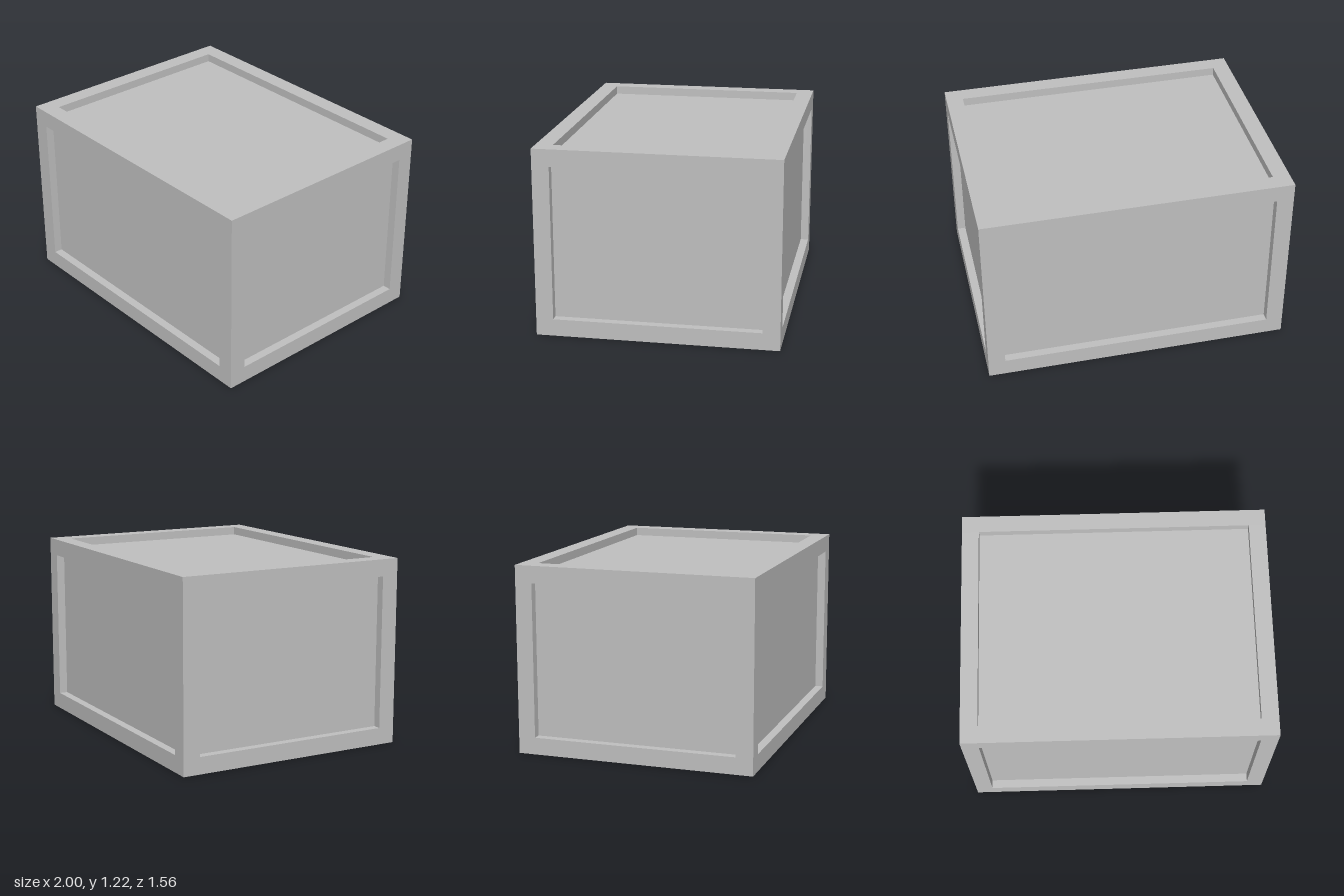
import * as THREE from 'three';

const W = 2, H = 1.222, D = 1.556; // outer size
const BAR = 0.111;                 // frame bar thickness
const RECESS = 0.055;              // depth of the sunken panels

export function createModel() {
  const crate = new THREE.Group();
  crate.name = 'crate';

  const grey = new THREE.MeshStandardMaterial({ color: 0xbfbfbf });
  grey.name = 'grey';

  const addBox = (name, w, h, d, x, y, z) => {
    const mesh = new THREE.Mesh(new THREE.BoxGeometry(w, h, d), grey);
    mesh.name = name;
    mesh.position.set(x, y, z);
    crate.add(mesh);
  };

  // Body whose faces form the six recessed panels
  addBox('body', W - 2 * RECESS, H - 2 * RECESS, D - 2 * RECESS, 0, H / 2, 0);

  // Frame along all twelve edges: full-height posts with rails between them
  const x = (W - BAR) / 2, y = (H - BAR) / 2, z = (D - BAR) / 2;
  for (const a of [-1, 1]) {
    for (const b of [-1, 1]) {
      addBox('cornerPost', BAR, H, BAR, a * x, H / 2, b * z);
      addBox('longRail', W - 2 * BAR, BAR, BAR, 0, H / 2 + a * y, b * z);
      addBox('sideRail', BAR, BAR, D - 2 * BAR, a * x, H / 2 + b * y, 0);
    }
  }

  return crate;
}
